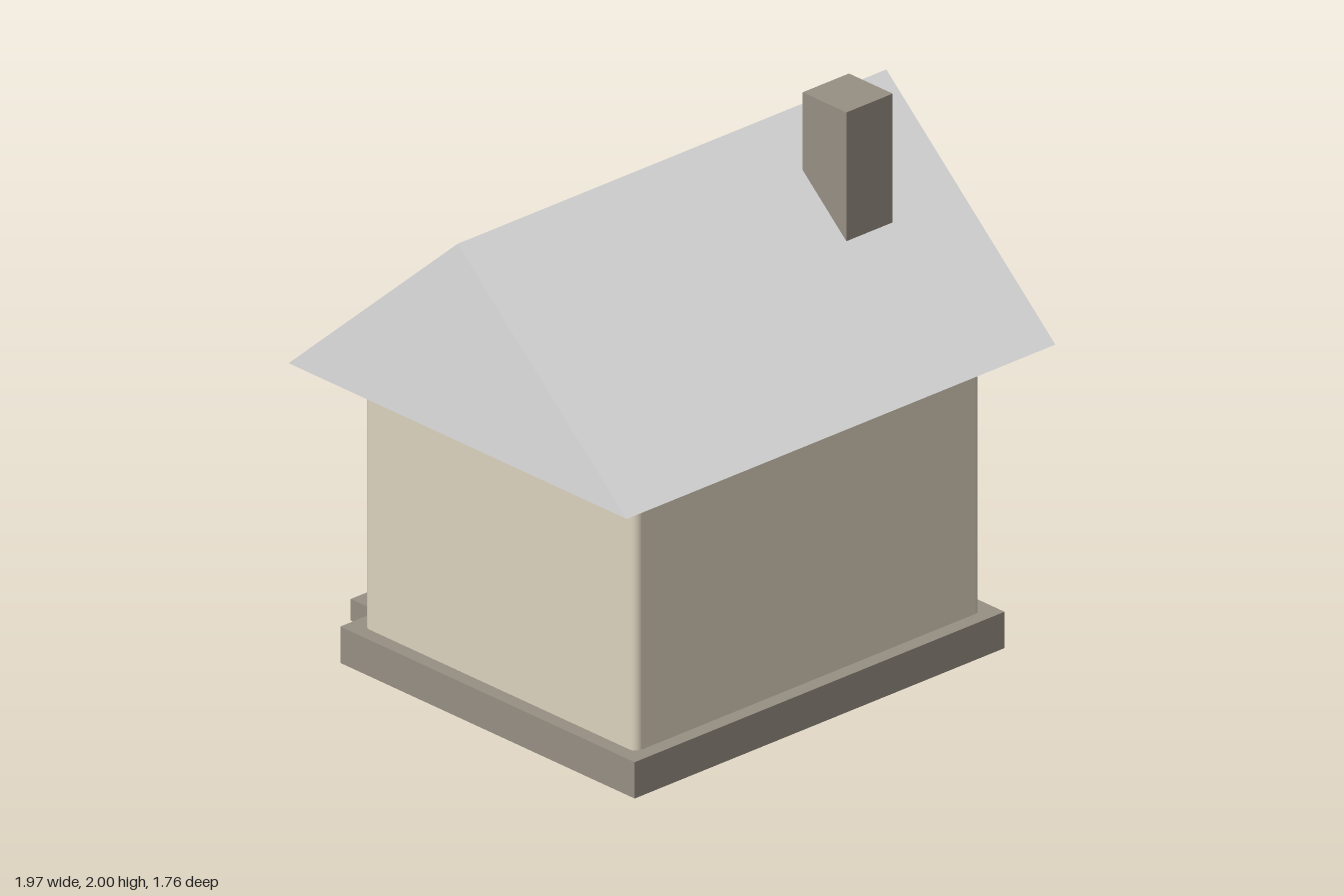
import * as THREE from 'three';
import { RoundedBoxGeometry } from 'three/addons/geometries/RoundedBoxGeometry.js';

const paint = (name, color) => {
  const m = new THREE.MeshStandardMaterial({ color });
  m.name = name;
  return m;
};

export function createModel() {
  const house = new THREE.Group();
  house.name = 'house';

  const wall = paint('cream plaster', 0xdcd2be);
  const roofing = paint('pale roof', 0xdedede);
  const stone = paint('grey stone', 0x978f83);
  const glass = paint('amber glass', 0xdeb57a);
  const wood = paint('brown door wood', 0x86603f);
  const trim = paint('dark window trim', 0x4a352c);

  const add = (name, geometry, material, x = 0, y = 0, z = 0) => {
    const mesh = new THREE.Mesh(geometry, material);
    mesh.name = name;
    mesh.position.set(x, y, z);
    house.add(mesh);
    return mesh;
  };
  // Box given by its limits on each axis
  const box = (name, material, [x0, x1], [y0, y1], [z0, z1]) =>
    add(name, new THREE.BoxGeometry(x1 - x0, y1 - y0, z1 - z0), material,
      (x0 + x1) / 2, (y0 + y1) / 2, (z0 + z1) / 2);

  // Stone base and doorstep
  box('foundation', stone, [-0.85, 0.85], [0, 0.135], [-0.665, 0.775]);
  box('doorstep', stone, [-0.6, -0.07], [0, 0.08], [-0.88, -0.665]);

  // Walls with softly rounded edges, sunk into the base
  add('walls', new RoundedBoxGeometry(1.59, 1.11, 1.33, 4, 0.03), wall, 0, 0.565, 0.055);

  // Gable roof: a triangular prism running along x
  const gable = new THREE.Shape([
    new THREE.Vector2(-0.827, 1.12),
    new THREE.Vector2(0.827, 1.12),
    new THREE.Vector2(0, 1.853),
  ]);
  const roof = new THREE.ExtrudeGeometry(gable, { depth: 1.97, bevelEnabled: false });
  roof.translate(0, 0, -0.985).rotateY(Math.PI / 2);
  add('roof', roof, roofing, 0, 0, 0.053);

  // Chimney through the front slope
  box('chimney', stone, [0.45, 0.663], [1.3, 2], [0.213, 0.427]);

  // Door and framed window in the back wall
  box('door', wood, [-0.5, -0.17], [0.135, 0.72], [-0.64, -0.6]);
  box('windowFrame', trim, [0.125, 0.515], [0.485, 0.857], [-0.642, -0.6]);
  box('backWindow', glass, [0.175, 0.465], [0.54, 0.8], [-0.665, -0.6]);

  // Plain window in the left wall
  box('sideWindow', glass, [0.78, 0.817], [0.54, 0.8], [-0.105, 0.215]);

  return house;
}
